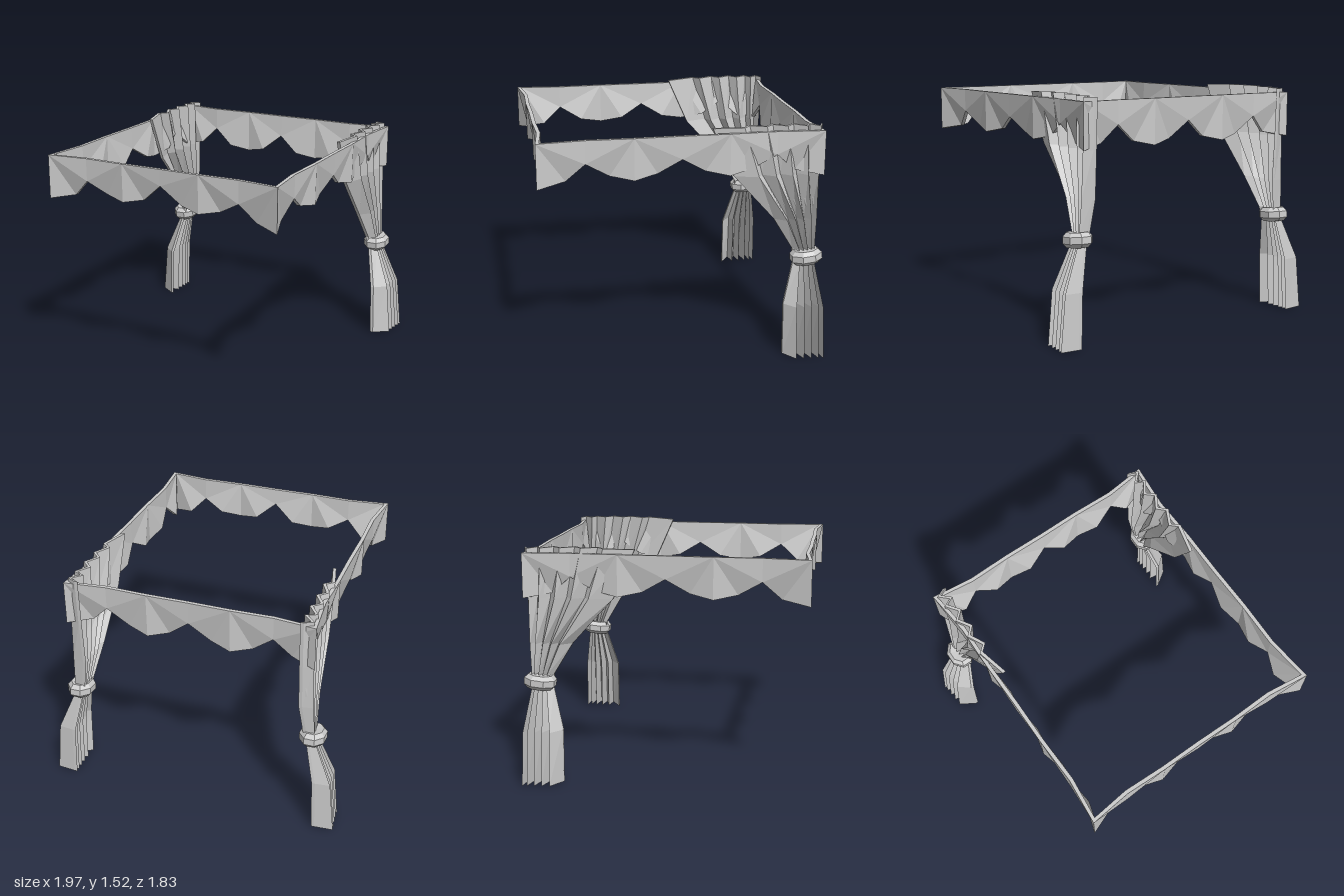
import * as THREE from 'three';

const material = () => new THREE.MeshStandardMaterial({ color: 0xcccccc, flatShading: true, side: THREE.DoubleSide });

// Collects flat triangles and turns them into a mesh.
function surface() {
  const pos = [];
  const tri = (a, b, c) => pos.push(...a, ...b, ...c);
  const quad = (a, b, c, d) => { tri(a, b, c); tri(a, c, d); };
  const mesh = (name) => {
    const g = new THREE.BufferGeometry();
    g.setAttribute('position', new THREE.Float32BufferAttribute(pos, 3));
    g.computeVertexNormals();
    const m = new THREE.Mesh(g, material());
    m.name = name;
    return m;
  };
  return { tri, quad, mesh };
}

// One scalloped strip: half = half length, dist = distance from the centre,
// tip / mid / peak = heights along the lower edge, turn = quarter turns about y.
function valance(name, half, dist, turn, { tip, mid, peak }) {
  const s = surface();
  const place = (a, y, d) => [[a, y, d], [d, y, -a], [-a, y, -d], [-d, y, a]][turn];
  const point = (u, y, inset, inner) => {
    const corner = Math.abs(u) === 1;
    const along = u * half - (inner && corner ? Math.sign(u) * 0.025 : 0);
    return place(along, y, dist - inset - (inner ? 0.025 : 0));
  };
  // Each half scallop fans out from a top point above its lowest tip.
  for (const [apex, side] of [[-1, 1], [-1 / 3, -1], [-1 / 3, 1], [1 / 3, -1], [1 / 3, 1], [1, -1]]) {
    const end = Math.abs(apex) === 1;
    let pk = Math.round((apex + side / 3) * 3) / 3;
    const mu = end ? apex * 0.8 : apex + side / 6;
    const layer = (inner) => ({
      A: point(apex, 1.49, end ? 0 : 0.022, inner),
      P: point(pk, 1.49, pk ? 0.03 : 0.025, inner),
      p: point(pk, pk ? 1.34 : peak, 0.032, inner),
      m: point(mu, end ? 1.23 : mid, 0.06, inner),
      b: point(apex, end ? 1.2 : tip, end ? 0 : 0.025, inner),
    });
    const o = layer(false), i = layer(true);
    const fan = (q, ccw) => {
      for (const [a, b, c] of [[q.A, q.p, q.P], [q.A, q.m, q.p], [q.A, q.b, q.m]]) ccw ? s.tri(a, b, c) : s.tri(a, c, b);
    };
    fan(o, side > 0);
    fan(i, side < 0);
    // top and lower edges
    for (const [a, b] of [['P', 'A'], ['b', 'm'], ['m', 'p']]) {
      if (side > 0) s.quad(o[a], i[a], i[b], o[b].slice());
      else s.quad(o[b], i[b], i[a], o[a]);
    }
  }
  return s.mesh(name);
}

// Pleat positions across the cloth, from its free edge to the corner.
const pleats = [0, 0.27, 0.33, 0.47, 0.54, 0.66, 0.73, 0.84, 0.88, 0.96, 1];
// Rows of the curtain: y, zFront, zBack, xInner, xOuter
const rows = [
  [0, -0.66, -0.915, 0.84, 0.985],
  [0.35, -0.66, -0.91, 0.83, 0.95],
  [0.61, -0.73, -0.87, 0.775, 0.84],
  [0.70, -0.73, -0.87, 0.75, 0.825],
  [0.9, -0.61, -0.885, 0.72, 0.815],
  [1.2, -0.34, -0.9, 0.72, 0.805],
  [1.52, -0.2, -0.91, 0.72, 0.80],
];

// A pleated cloth with thickness, gathered at the tie.
function curtain(side) {
  const s = surface();
  const rings = rows.map(([y, z0, z1, x0, x1], r) => {
    const t = Math.min(0.022, (x1 - x0) * 0.3);
    const line = (out) => pleats.map((f, k) => {
      const x = (k % 2 ? x1 - (1 - f) * (x1 - x0) * 0.2 : x0 + t) - (out ? 0 : t);
      const lift = r === rows.length - 1 ? 0.01 * Math.sin(f * Math.PI) - 0.005 : 0;
      return [side * x, y + lift, z0 + (z1 - z0) * f];
    });
    return [...line(true), ...line(false).reverse()];
  });
  const quad = (a, b, c, d) => (side > 0 ? s.quad(a, b, c, d) : s.quad(d, c, b, a));
  const n = rings[0].length;
  for (let r = 0; r + 1 < rings.length; r++) {
    for (let k = 0; k < n; k++) {
      const j = (k + 1) % n;
      quad(rings[r][k], rings[r][j], rings[r + 1][j], rings[r + 1][k]);
    }
  }
  // hems at the bottom and top
  const top = rings[rings.length - 1], low = rings[0];
  for (let k = 0; k + 1 < pleats.length; k++) {
    const a = n - 1 - k;
    quad(top[k], top[k + 1], top[a - 1], top[a]);
    quad(low[a], low[a - 1], low[k + 1], low[k]);
  }
  return s.mesh(side > 0 ? 'leftCurtain' : 'rightCurtain');
}

// Faceted band holding the curtain together.
function tieBand(side) {
  const profile = [[0, -0.04], [0.75, -0.045], [1, -0.02], [1, 0.022], [0.75, 0.048], [0, 0.04]]
    .map(([r, y]) => new THREE.Vector2(r, y));
  const g = new THREE.LatheGeometry(profile, 8, Math.PI / 8);
  g.scale(0.088, 1, 0.108);
  g.rotateX(0.1);
  const m = new THREE.Mesh(g, material());
  m.position.set(side * 0.803, 0.655, -0.815);
  m.name = side > 0 ? 'leftTieBand' : 'rightTieBand';
  return m;
}

export function createModel() {
  const model = new THREE.Group();
  model.name = 'canopy';
  const sideEdge = { tip: 1.22, mid: 1.25, peak: 1.34 };
  model.add(
    valance('frontValance', 0.82, 0.91, 0, { tip: 1.24, mid: 1.265, peak: 1.38 }),
    valance('leftValance', 0.91, 0.82, 1, sideEdge),
    valance('backValance', 0.82, 0.91, 2, { tip: 1.2, mid: 1.23, peak: 1.34 }),
    valance('rightValance', 0.91, 0.82, 3, sideEdge),
  );
  for (const side of [1, -1]) model.add(curtain(side), tieBand(side));
  return model;
}
